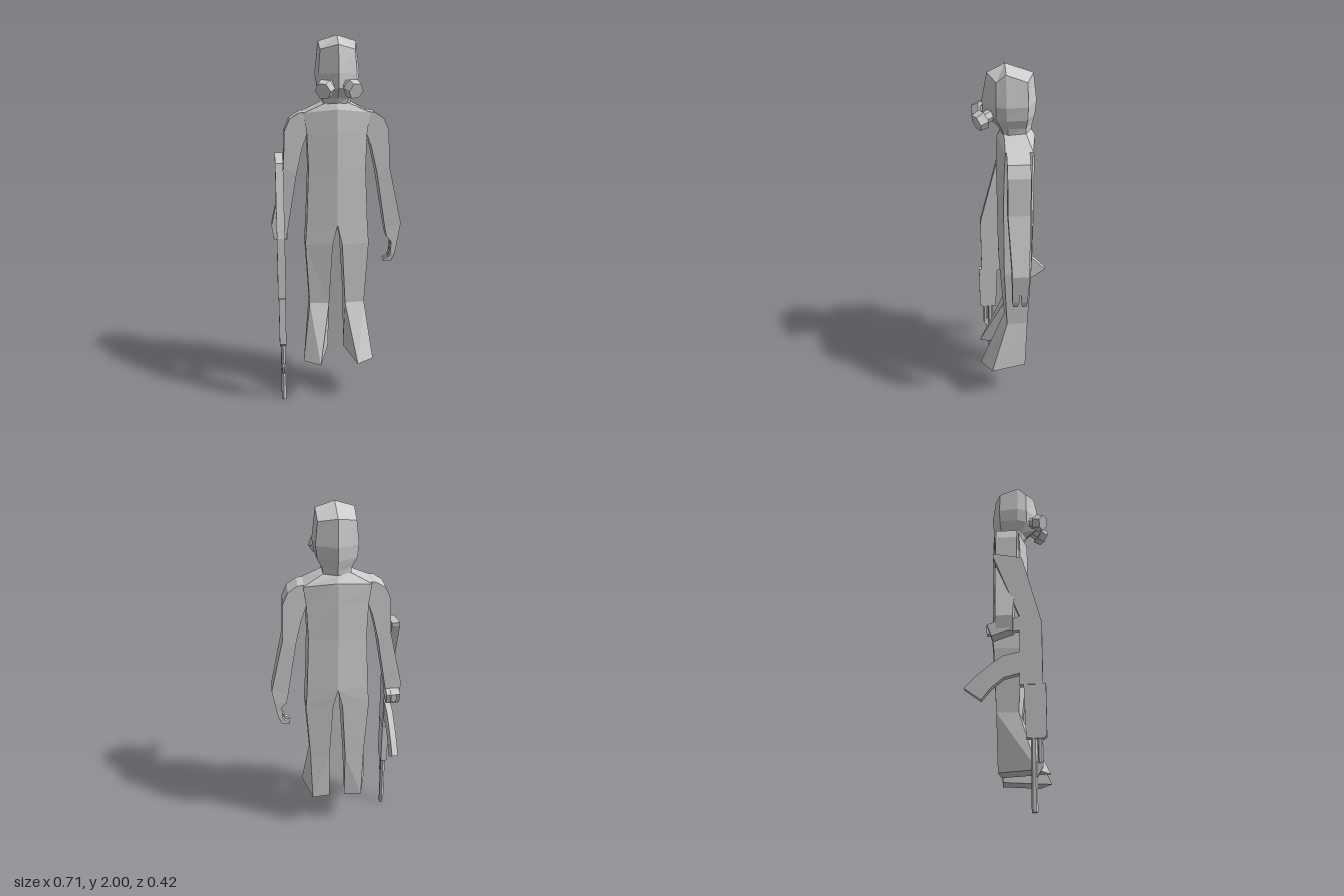
import * as THREE from 'three';

const grey = new THREE.MeshStandardMaterial({ color: 0xcccccc, flatShading: true });
grey.name = 'plain grey';

function addMesh(parent, name, geometry) {
  const mesh = new THREE.Mesh(geometry, grey);
  mesh.name = name;
  parent.add(mesh);
  return mesh;
}

// Closed, flat-shaded solid through equal-length loops of [x, y, z]
function loft(loops) {
  const tris = [];
  const n = loops[0].length;
  for (let s = 0; s + 1 < loops.length; s++) {
    for (let i = 0; i < n; i++) {
      const j = (i + 1) % n, a = loops[s], b = loops[s + 1];
      tris.push([a[i], a[j], b[j]], [a[i], b[j], b[i]]);
    }
  }
  const cap = (loop, flip) => {
    const c = [0, 1, 2].map(k => loop.reduce((t, p) => t + p[k], 0) / n);
    loop.forEach((p, i) => {
      const q = loop[(i + 1) % n];
      tris.push(flip ? [c, q, p] : [c, p, q]);
    });
  };
  cap(loops[0], true);
  cap(loops[loops.length - 1], false);
  // Turn the faces outwards whichever way the loops run
  let volume = 0;
  for (const [a, b, c] of tris) {
    volume += a[0] * (b[1] * c[2] - b[2] * c[1]) + a[1] * (b[2] * c[0] - b[0] * c[2])
      + a[2] * (b[0] * c[1] - b[1] * c[0]);
  }
  const data = tris.flatMap(t => (volume < 0 ? [t[0], t[2], t[1]] : t).flat());
  const g = new THREE.BufferGeometry();
  g.setAttribute('position', new THREE.Float32BufferAttribute(data, 3));
  g.computeVertexNormals();
  return g;
}

// Full loop from a half loop running from back centre to front centre
const mirrorLoop = half => [...half, ...half.slice(1, -1).reverse().map(([x, y, z]) => [-x, y, z])];

// Plate drawn in the (z, y) plane, from x0 towards -x
function sidePlate(points, x0, width) {
  const shape = new THREE.Shape(points.map(([z, y]) => new THREE.Vector2(z, y)));
  const g = new THREE.ExtrudeGeometry(shape, { depth: width, bevelEnabled: false });
  return g.rotateY(-Math.PI / 2).translate(x0, 0, 0);
}

// Limb piece: each section is outer x, y, inner x, y, back z, front z
const limb = (side, sections) => loft(sections.map(([ox, oy, ix, iy, b, f]) => [
  [side * ox, oy, b], [side * ox, oy, f], [side * ix, iy, f], [side * ix, iy, b]]));

function buildHead(parent) {
  const head = new THREE.Group();
  head.name = 'maskedHead';
  parent.add(head);
  const crown = Array.from({ length: 5 }, () => [0, 2, 0.04]);
  const halves = [
    crown,
    [[0, 1.95, -0.1], [0.096, 1.93, -0.065], [0.098, 1.97, 0.04], [0.09, 1.93, 0.087], [0, 1.955, 0.13]],
    [[0, 1.81, -0.117], [0.108, 1.81, -0.067], [0.117, 1.81, 0.04], [0.1, 1.81, 0.09], [0, 1.815, 0.157]],
    [[0, 1.74, -0.11], [0.1, 1.74, -0.065], [0.105, 1.74, 0.04], [0.085, 1.74, 0.09], [0, 1.74, 0.152]],
    [[0, 1.69, -0.097], [0.075, 1.69, -0.06], [0.08, 1.69, 0.03], [0.06, 1.68, 0.06], [0, 1.68, 0.08]],
    [[0, 1.65, -0.09], [0.07, 1.65, -0.06], [0.07, 1.65, 0.03], [0.05, 1.65, 0.055], [0, 1.65, 0.065]],
  ];
  addMesh(head, 'headShell', loft(halves.map(mirrorLoop)));

  // Paired breathing filters, angled outwards and down
  for (const side of [-1, 1]) {
    const filter = new THREE.Group();
    filter.name = side > 0 ? 'leftFilter' : 'rightFilter';
    filter.position.set(side * 0.074, 1.735, 0.168);
    const axis = new THREE.Vector3(side * 0.46, -0.3, 0.82).normalize();
    filter.quaternion.setFromUnitVectors(new THREE.Vector3(0, 1, 0), axis);
    addMesh(filter, 'canister', new THREE.CylinderGeometry(0.044, 0.05, 0.045, 6));
    addMesh(filter, 'connector', new THREE.CylinderGeometry(0.03, 0.03, 0.06, 6)).position.y = -0.045;
    head.add(filter);
  }
}

function buildBody(parent) {
  // Torso, from the neck down to the crotch
  addMesh(parent, 'torso', loft([
    [[0, 1.66, -0.09], [0.07, 1.66, -0.06], [0.05, 1.66, 0.05], [0, 1.66, 0.065]],
    [[0, 1.625, -0.112], [0.175, 1.605, -0.088], [0.175, 1.605, 0.05], [0, 1.625, 0.085]],
    [[0, 1.5, -0.112], [0.16, 1.497, -0.085], [0.16, 1.497, 0.055], [0, 1.5, 0.09]],
    [[0, 1.31, -0.11], [0.153, 1.31, -0.085], [0.153, 1.31, 0.06], [0, 1.31, 0.088]],
    [[0, 1, -0.11], [0.166, 1, -0.088], [0.166, 1, 0.06], [0, 1, 0.085]],
  ].map(mirrorLoop)));

  for (const side of [-1, 1]) {
    const prefix = side > 0 ? 'left' : 'right';
    // Leg with a turned-out foot: inner back, outer back, outer front, inner front
    const leg = [
      [[0, 1, -0.11], [0.166, 1, -0.088], [0.166, 1, 0.06], [0, 1, 0.085]],
      [[0.026, 0.89, -0.1], [0.174, 0.89, -0.085], [0.174, 0.89, 0.06], [0.026, 0.89, 0.082]],
      [[0.045, 0.54, -0.078], [0.153, 0.54, -0.07], [0.153, 0.54, 0.045], [0.045, 0.54, 0.056]],
      [[0.045, 0.23, -0.05], [0.145, 0.23, -0.06], [0.195, 0.23, 0.135], [0.103, 0.23, 0.2]],
    ];
    addMesh(parent, prefix + 'Leg', loft(leg.map(l => l.map(([x, y, z]) => [side * x, y, z]))));

    addMesh(parent, prefix + 'Arm', limb(side, [
      [0.15, 1.61, 0.14, 1.5, -0.07, 0.045],
      [0.2, 1.605, 0.16, 1.49, -0.07, 0.045],
      [0.25, 1.572, 0.17, 1.46, -0.07, 0.045],
      [0.278, 1.51, 0.185, 1.42, -0.07, 0.045],
      [0.286, 1.31, 0.217, 1.28, -0.07, 0.045],
      [0.357, 0.99, 0.268, 0.965, -0.06, 0.027],
      [0.343, 0.91, 0.28, 0.91, -0.06, 0.027],
    ]));
  }

  // Open left hand with hooked fingers
  const hand = new THREE.Group();
  hand.name = 'leftHand';
  parent.add(hand);
  addMesh(hand, 'palm', limb(1, [
    [0.343, 0.91, 0.28, 0.915, -0.06, 0.027],
    [0.335, 0.86, 0.306, 0.88, -0.057, 0.027],
  ]));
  for (const [b, f] of [[-0.055, -0.02], [-0.01, 0.027]]) {
    addMesh(hand, 'finger', limb(1, [
      [0.335, 0.86, 0.306, 0.88, b, f],
      [0.326, 0.81, 0.302, 0.815, b, f],
      [0.308, 0.77, 0.29, 0.79, b + 0.006, f - 0.006],
      [0.265, 0.765, 0.262, 0.775, b + 0.01, f - 0.01],
    ]));
  }

  // Closed right hand around the grip
  const fist = addMesh(parent, 'rightFist', new THREE.BoxGeometry(0.075, 0.07, 0.1));
  fist.position.set(-0.308, 0.93, -0.045);
  fist.rotation.x = -0.35;
}

function buildRifle(parent) {
  const rifle = new THREE.Group();
  rifle.name = 'rifle';
  parent.add(rifle);
  // Stock and receiver share one outline
  addMesh(rifle, 'stockAndReceiver', sidePlate([
    [-0.08, 1.375], [-0.078, 1.355], [0.06, 1.0], [0.06, 0.62], [0.175, 0.62], [0.175, 0.96], [0.075, 1.345],
  ], -0.288, 0.042));
  addMesh(rifle, 'handguard', sidePlate([
    [0.08, 0.625], [0.09, 0.35], [0.17, 0.345], [0.19, 0.36], [0.19, 0.625],
  ], -0.291, 0.036));
  addMesh(rifle, 'pistolGrip', sidePlate([
    [0.07, 1.0], [-0.11, 0.95], [-0.105, 0.9], [0.07, 0.92],
  ], -0.294, 0.03));
  addMesh(rifle, 'curvedMagazine', sidePlate([
    [0.07, 0.8], [-0.02, 0.78], [-0.09, 0.73], [-0.16, 0.67], [-0.215, 0.61],
    [-0.13, 0.547], [-0.08, 0.61], [-0.02, 0.66], [0.07, 0.685],
  ], -0.292, 0.034));
  // Barrel, gas tube and front sight
  const tube = (name, radius, y0, y1, z) => {
    const m = addMesh(rifle, name, new THREE.CylinderGeometry(radius, radius, y1 - y0, 6));
    m.position.set(-0.309, (y0 + y1) / 2, z);
  };
  tube('barrel', 0.015, 0, 0.36, 0.127);
  tube('gasTube', 0.013, 0.23, 0.36, 0.157);
  addMesh(rifle, 'frontSight', sidePlate([
    [0.127, 0.24], [0.127, 0.16], [0.14, 0.16], [0.17, 0.215], [0.17, 0.235],
  ], -0.303, 0.012));
}

export function createModel() {
  const model = new THREE.Group();
  model.name = 'maskedFigure';
  buildHead(model);
  buildBody(model);
  buildRifle(model);
  return model;
}
